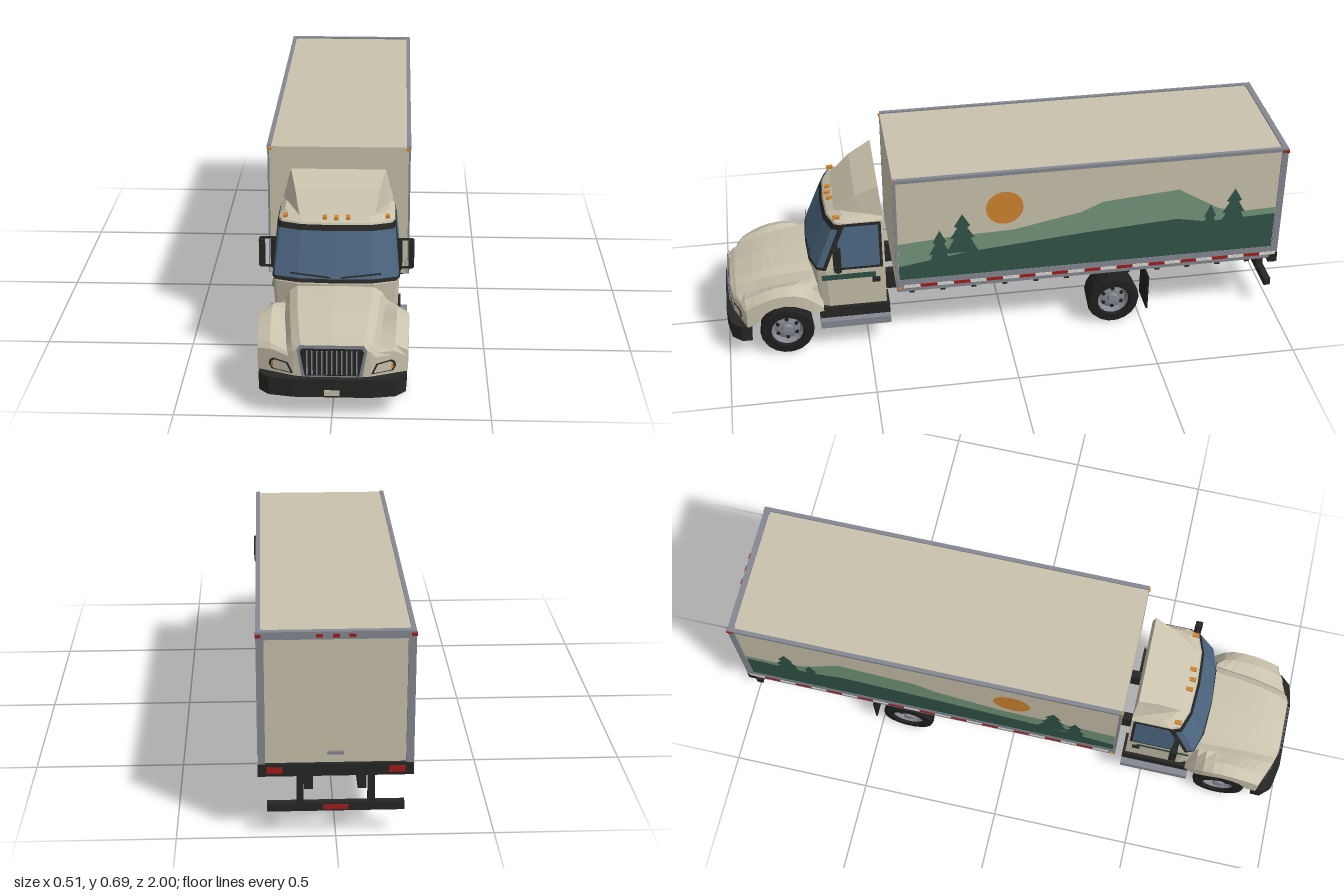
import * as THREE from 'three';

const colour = (name, color) => {
  const m = new THREE.MeshStandardMaterial({ color, side: THREE.DoubleSide, flatShading: true });
  m.name = name;
  return m;
};

export function createModel() {
  const truck = new THREE.Group();
  truck.name = 'boxTruck';
  const cream = colour('cream', 0xc9c2ac), glass = colour('glass', 0x4c6681), black = colour('black', 0x262725),
    rubber = colour('rubber', 0x1f1f1f), metal = colour('metal', 0x858891), orange = colour('orange', 0xd08530),
    red = colour('red', 0xa01c1c), white = colour('white', 0xd6d6d2), hillGreen = colour('hillGreen', 0x73967a),
    pineGreen = colour('pineGreen', 0x305448);

  const add = (name, mat, geo, parent = truck) => {
    const m = new THREE.Mesh(geo, mat);
    m.name = name;
    parent.add(m);
    return m;
  };
  // box given by its min and max on each axis
  const box = (name, mat, x0, x1, y0, y1, z0, z1) =>
    add(name, mat, new THREE.BoxGeometry(Math.abs(x1 - x0), y1 - y0, z1 - z0)
      .translate((x0 + x1) / 2, (y0 + y1) / 2, (z0 + z1) / 2));
  const pair = (name, mat, x0, x1, ...r) => { for (const s of [1, -1]) box(name, mat, s * x0, s * x1, ...r); };
  // skin over rows of points
  const skin = (name, mat, rows) => {
    const n = rows[0].length, idx = [];
    for (let j = 0; j < rows.length - 1; j++) for (let i = 0; i < n - 1; i++) {
      const a = j * n + i, b = a + n;
      idx.push(a, a + 1, b, a + 1, b + 1, b);
    }
    const g = new THREE.BufferGeometry();
    g.setAttribute('position', new THREE.Float32BufferAttribute(rows.flat(2), 3));
    g.setIndex(idx);
    g.computeVertexNormals();
    return add(name, mat, g);
  };
  // thin flat outline laid on a surface by a mapping
  const plate = (name, mat, pts, map) => {
    const v = pts.map(p => new THREE.Vector2(...p));
    const g = new THREE.BufferGeometry();
    g.setAttribute('position', new THREE.Float32BufferAttribute(pts.flatMap(p => map(...p)), 3));
    g.setIndex(THREE.ShapeUtils.triangulateShape(v, []).flat());
    g.computeVertexNormals();
    return add(name, mat, g);
  };
  const mirrored = half => [...half, ...half.slice(0, -1).reverse().map(([x, y, z]) => [-x, y, z])];

  // cargo box
  box('cargoBox', cream, -.238, .238, .236, .692, -.985, .395);
  pair('topRail', metal, .228, .242, .684, .697, -.993, .395);
  pair('bottomRail', metal, .225, .2415, .234, .284, -.985, .395);
  pair('frontCornerPost', metal, .234, .2405, .284, .69, .386, .396);
  pair('rearPost', metal, .218, .242, .25, .697, -.995, -.972);
  box('rearHeader', metal, -.22, .22, .672, .697, -.995, -.975);
  box('rearSill', black, -.242, .242, .215, .256, -.997, -.965);
  box('rearHandle', metal, -.025, .025, .285, .295, -.992, -.984);
  for (const x of [-.05, 0, .05]) box('rearMarker', red, x - .01, x + .01, .68, .69, -1, -.99);
  pair('rearCornerMarker', red, .226, .244, .68, .69, -.998, -.975);
  pair('tailLight', red, .165, .215, .226, .247, -1, -.99);
  pair('boxFrontMarker', orange, .226, .24, .681, .689, .39, .4);
  pair('boxSideMarker', orange, .236, .245, .246, .252, .375, .39);
  for (let i = 0; i < 23; i++) {
    const z = .37 - i * .059;
    pair('safetyStripe', i % 2 ? red : white, .241, .2435, .249, .261, z - .059, z);
  }

  // painted landscape on both sides
  const hills = [[.385, .284], [.385, .434], [.19, .45], [-.02, .456], [-.26, .504], [-.34, .54], [-.61, .563],
    [-.76, .47], [-.84, .448], [-.97, .453], [-.97, .284]];
  const foreground = [[.385, .284], [.385, .34], [.14, .38], [-.29, .418], [-.61, .44], [-.72, .418], [-.97, .428], [-.97, .284]];
  const tree = (z, top, w) => {
    const half = [[.5, .05], [.3, .055], [.75, .1], [.5, .1], [1, .16]].map(([f, d]) => [f * w, top - d]);
    return [[z, top], ...half.map(([a, y]) => [z + a, y]), ...half.reverse().map(([a, y]) => [z - a, y])];
  };
  const sun = Array.from({ length: 24 }, (_, i) => [.01 + .066 * Math.cos(i * Math.PI / 12), .55 + .066 * Math.sin(i * Math.PI / 12)]);
  for (const s of [1, -1]) {
    const at = x => (z, y) => [s * x, y, z];
    plate('sun', orange, sun, at(.239));
    plate('hills', hillGreen, hills, at(.239));
    plate('foreground', pineGreen, foreground, at(.24));
    for (const [z, t, w] of [[.24, .48, .05], [.16, .54, .058], [-.73, .49, .045], [-.815, .548, .055]])
      plate('tree', pineGreen, tree(z, t, w), at(.2408));
  }

  // chassis
  pair('frameRail', black, .07, .098, .15, .225, -.96, .9);
  for (let i = 0; i < 12; i++) box('crossMember', black, -.222, .222, .212, .236, -.9 + i * .112, -.882 + i * .112);
  for (const z of [-.7, -.1, .25, .6]) box('frameBrace', black, -.08, .08, .16, .2, z, z + .02);
  pair('bumperHanger', black, .1, .122, .1, .22, -.99, -.965);
  box('rearGuard', black, -.215, .215, .09, .118, -.993, -.97);
  box('rearGuardReflector', red, -.04, .04, .096, .112, -.996, -.992);
  pair('mudFlap', rubber, .125, .235, .05, .19, -.524, -.518);
  box('engineBay', black, -.1, .1, .13, .235, .68, .93);

  // wheels
  const lathe = (pts, n) => new THREE.LatheGeometry(pts.map(p => new THREE.Vector2(...p)), n).rotateZ(-Math.PI / 2);
  for (const z of [.79, -.395]) {
    add('axle', black, new THREE.CylinderGeometry(.02, .02, .3, 10).rotateZ(Math.PI / 2).translate(0, .1, z));
    for (const s of [1, -1]) {
      const wheel = new THREE.Group();
      wheel.name = 'wheel';
      wheel.position.set(s * .183, .0985, z);
      if (s < 0) wheel.rotation.y = Math.PI;
      truck.add(wheel);
      add('tyre', rubber, lathe([[0, -.052], [.083, -.052], [.09, -.045], [.0965, .038], [.091, .05], [.062, .052], [.056, .03]], 18), wheel);
      add('rim', metal, lathe([[.057, .042], [.052, .034], [.046, .024], [.028, .03], [.021, .03], [.019, .046], [0, .048]], 18), wheel);
      for (let i = 0; i < 6; i++) {
        const a = i * Math.PI / 3;
        add('rimHole', rubber, new THREE.CylinderGeometry(.007, .007, .006, 8).rotateZ(Math.PI / 2)
          .translate(.028, .038 * Math.cos(a), .038 * Math.sin(a)), wheel);
      }
    }
  }

  // cab shell: rings of [height, half width, front z]
  const levels = [[.165, .2, .69], [.325, .207, .7], [.51, .19, .625], [.527, .172, .595]];
  const cabAt = y => {
    const i = Math.max(0, Math.min(2, levels.findIndex(l => l[0] >= y) - 1)), a = levels[i], b = levels[i + 1];
    const t = (y - a[0]) / (b[0] - a[0]);
    return [a[1] + (b[1] - a[1]) * t, a[2] + (b[2] - a[2]) * t];
  };
  const cabFront = (y, o = 0, inset = 0) => {
    const [w, f] = cabAt(y);
    return mirrored([[w + o - inset * .4, y, f - .06 + inset + o * .5], [w - .012 + o, y, f - .03 + o],
      [w * .6, y, f - .006 + o], [0, y, f + o]]);
  };
  const rings = levels.map(([y, w]) => [[0, y, .43], [w, y, .43], ...cabFront(y), [-w, y, .43], [0, y, .43]]);
  const cap = r => r.map(p => [0, p[1], .5]);
  skin('cab', cream, [cap(rings[0]), ...rings, cap(rings[3])]);
  skin('windscreenFrame', black, [.33, .505].map(y => cabFront(y, .003)));
  skin('windscreen', glass, [.343, .488].map(y => cabFront(y, .006, .012)));
  for (const [a, b] of [[-.148, -.018], [.018, .148]]) {
    const wiper = (x, dy) => { const y = .358 - (.15 - Math.abs(x)) * .09 + dy; return [x, y, cabAt(y)[1] + .009 - Math.abs(x) * .05]; };
    skin('wiper', black, [[wiper(a, 0), wiper(b, 0)], [wiper(a, .005), wiper(b, .005)]]);
  }
  for (const x of [-.167, -.038, 0, .038, .167])
    box('roofMarker', orange, x - .007, x + .007, .519, .528, .598 - Math.abs(x) * .12, .622 - Math.abs(x) * .12);

  // doors, mirrors and steps
  for (const s of [1, -1]) {
    const side = o => (z, y) => [s * (cabAt(y)[0] + o), y, z];
    plate('windowFrame', black, [[.612, .328], [.612, .41], [.573, .508], [.438, .508], [.438, .328]], side(.002));
    plate('sideWindow', glass, [[.604, .338], [.604, .41], [.566, .498], [.448, .498], [.448, .338]], side(.004));
    plate('doorStripe', pineGreen, [[.655, .287], [.655, .31], [.465, .31], [.465, .287]], side(.002));
  }
  pair('doorHandle', black, .2, .212, .267, .285, .45, .478);
  pair('mirror', black, .236, .255, .35, .442, .585, .61);
  for (const y of [.346, .446]) pair('mirrorArm', black, .195, .252, y - .003, y + .003, .594, .602);
  pair('quarterWindow', black, .2, .216, .34, .44, .592, .604);
  pair('stepBox', black, .13, .212, .125, .17, .42, .67);
  pair('step', metal, .13, .236, .1, .128, .42, .67);

  // roof fairing
  const fair = [[.12, .525, .595], [.14, .59, .52], [.158, .63, .44]];
  skin('fairingFront', cream, fair.map(([x, y, z]) => [[-x, y, z], [x, y, z]]));
  for (const s of [1, -1])
    skin('fairingSide', cream, fair.map(([x, y, z], i) => [[s * x, y, z], [s * (.125 + i * .03), .525, .59 - i * .08]]));
  skin('fairingBack', cream, [[[-.158, .63, .44], [.158, .63, .44]], [[-.185, .525, .43], [.185, .525, .43]]]);

  // bonnet and wings: z, crown y, crown half width, valley y, wing top y, wing x, wing edge y, arch y
  const frontZ = x => .978 - Math.max(0, Math.abs(x) - .11) * .4;
  const stations = [
    [.655, .31, .13, .26, .2, .215, .175, .162], [.69, .322, .125, .27, .245, .228, .215, .165],
    [.72, .32, .122, .268, .268, .236, .242, .191], [.755, .316, .12, .262, .275, .24, .255, .209],
    [.79, .311, .118, .256, .274, .24, .258, .215], [.83, .304, .115, .25, .268, .24, .252, .208],
    [.86, .297, .112, .243, .258, .239, .243, .191], [.895, .286, .108, .232, .243, .238, .227, .147],
    [.93, .272, .105, .222, .228, .236, .208, .135], [.958, .26, .1, .212, .213, .23, .19, .135],
    [1, .245, .096, .2, .2, .225, .178, .135], [1, 0, .096, 0, 0, .225, 0, .135]];
  skin('bonnet', cream, stations.map(([z, yt, hw, yv, yf, xo, yo, yb]) => mirrored(
    [[xo, yb], [xo, yo], [xo - .04, yf], [hw + .04, yv], [hw + .025, yt - .025], [hw, yt - .006], [0, yt]]
      .map(([x, y]) => [x, Math.max(y, yb), Math.min(z, frontZ(x))]))));

  // grille and headlights
  const face = (s, o) => (x, y) => [s * x, y, frontZ(x) + o];
  plate('grilleSurround', metal, [[-.095, .135], [.095, .135], [.11, .228], [.1, .245], [-.1, .245], [-.11, .228]], face(1, .003));
  plate('grille', black, [[-.085, .142], [.085, .142], [.1, .224], [.094, .235], [-.094, .235], [-.1, .224]], face(1, .006));
  for (let i = -5; i <= 5; i++) box('grilleBar', metal, i * .0155 - .0025, i * .0155 + .0025, .147, .228, .982, .988);
  const lamp = [[.122, .145], [.19, .147], [.2, .162], [.197, .177], [.185, .186], [.138, .179]];
  const shrink = f => lamp.map(([x, y]) => [.163 + (x - .163) * f, .164 + (y - .164) * f]);
  for (const s of [1, -1]) {
    plate('headlightFrame', black, lamp, face(s, .003));
    plate('headlight', cream, shrink(.8), face(s, .005));
    plate('indicator', orange, [[.186, .153], [.193, .161], [.191, .175], [.186, .173]], face(s, .007));
  }

  // front bumper
  const outline = [[-.232, .915], [-.232, .95], [-.2, .985], [-.12, 1], [.12, 1], [.2, .985], [.232, .95], [.232, .915]];
  const bumper = new THREE.Shape(outline.map(([x, z]) => new THREE.Vector2(x, -z)));
  add('frontBumper', black, new THREE.ExtrudeGeometry(bumper, { depth: .061, bevelEnabled: false }).rotateX(-Math.PI / 2).translate(0, .075, 0));
  box('numberPlate', cream, -.024, .024, .081, .1, .998, 1.003);
  return truck;
}
